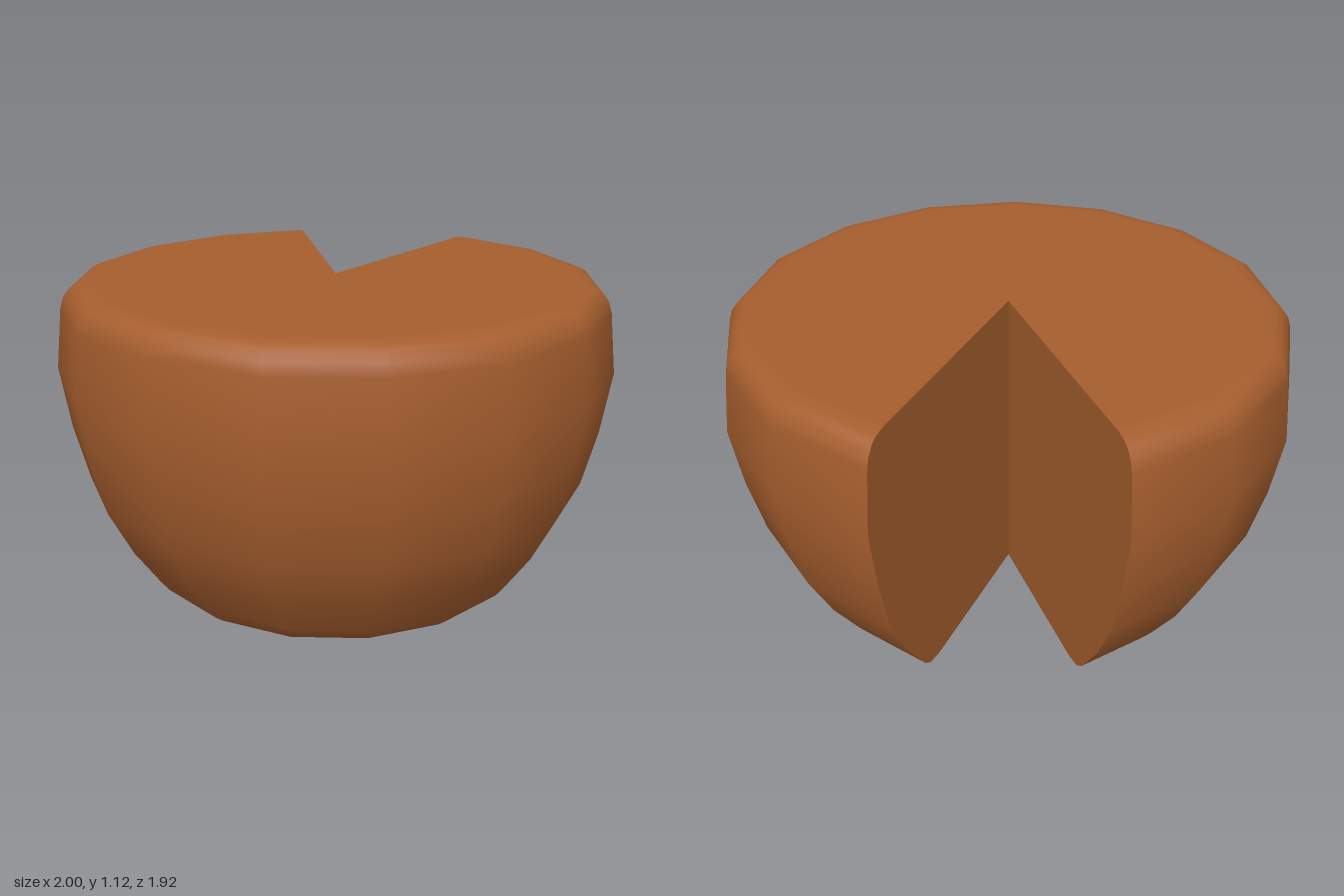
import * as THREE from 'three';

const SIDES = 14;                     // 14 of 16 facets remain, two are cut out
const SWEEP = Math.PI * 2 * SIDES / 16;
const HALF = SWEEP / 2;

// Outer profile as [radius, height], bottom to top
const PROFILE = [
  [0.6, 0], [0.62, 0.002], [0.67, 0.013], [0.705, 0.04], [0.735, 0.08],
  [0.83, 0.22], [0.915, 0.39], [0.965, 0.59], [1, 0.815],
  [0.975, 1.03], [0.963, 1.07], [0.94, 1.1], [0.915, 1.113], [0.88, 1.12], [0.86, 1.12],
];

export function createModel() {
  const model = new THREE.Group();
  model.name = 'cutRoundBody';
  const brown = new THREE.MeshStandardMaterial({ color: 0xa65e2e });
  brown.name = 'warmBrown';

  const add = (name, geometry) => {
    const mesh = new THREE.Mesh(geometry, brown);
    mesh.name = name;
    mesh.position.z = -0.04;
    model.add(mesh);
    return mesh;
  };

  // Rounded outer wall, open at the back
  const points = PROFILE.map(([r, y]) => new THREE.Vector2(r, y));
  add('outerWall', new THREE.LatheGeometry(points, SIDES, -HALF, SWEEP));

  // Flat top and bottom sectors
  const [bottom, top] = [PROFILE[0], PROFILE[PROFILE.length - 1]];
  add('topFace', new THREE.CircleGeometry(top[0], SIDES, Math.PI * 5 / 8, SWEEP)
    .rotateX(-Math.PI / 2).translate(0, top[1], 0));
  add('bottomFace', new THREE.CircleGeometry(bottom[0], SIDES, Math.PI * 13 / 8, SWEEP)
    .rotateX(Math.PI / 2));

  // Flat walls of the wedge cut, both facing into the notch
  for (const [name, side] of [['leftCutFace', 1], ['rightCutFace', -1]]) {
    const outline = [[0, 0], ...PROFILE, [0, top[1]]]
      .map(([r, y]) => new THREE.Vector2(-side * r, y));
    const cut = add(name, new THREE.ShapeGeometry(new THREE.Shape(outline)));
    cut.rotation.y = side * (HALF + Math.PI / 2);
  }
  return model;
}
